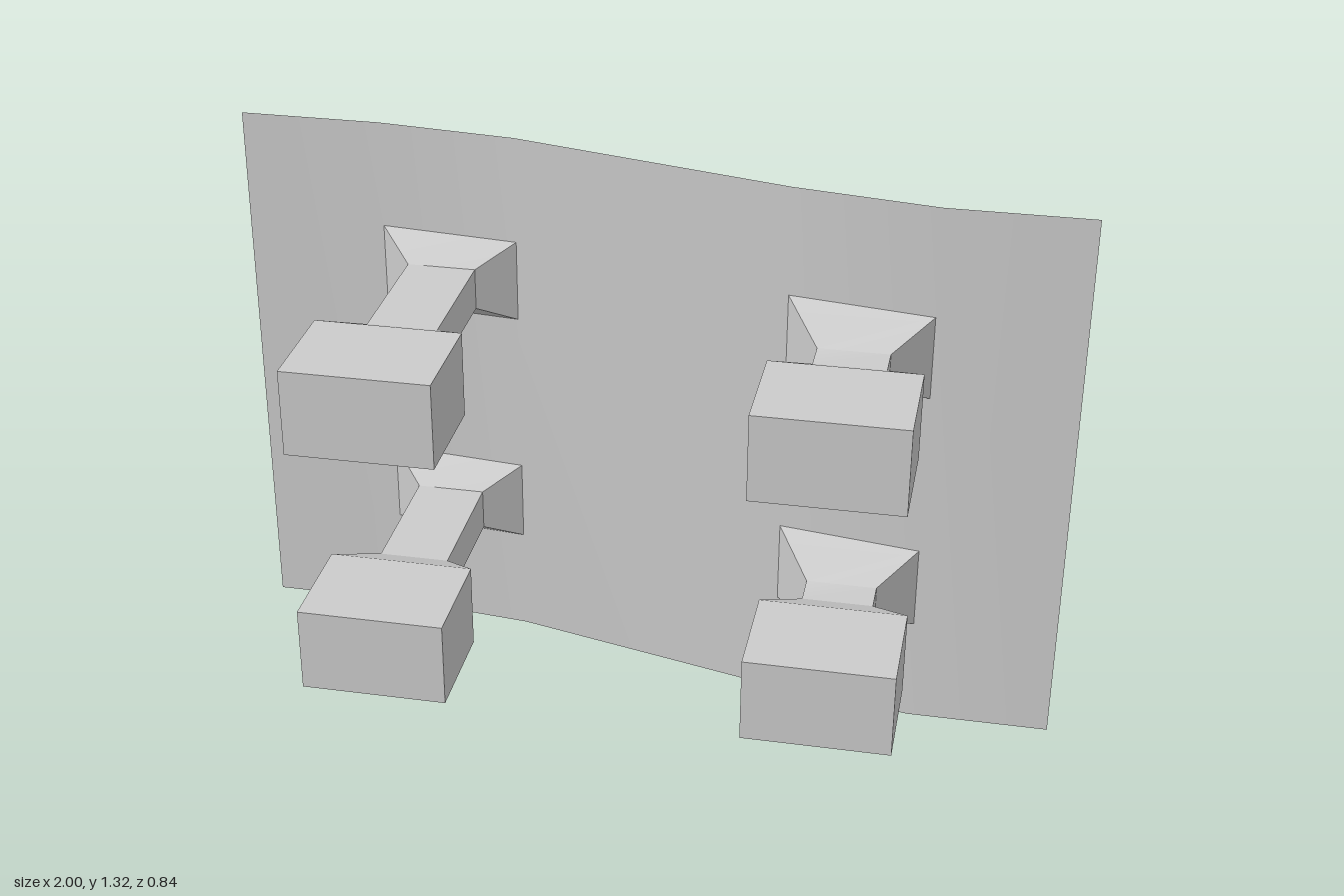
import * as THREE from 'three';
import { toCreasedNormals } from 'three/addons/utils/BufferGeometryUtils.js';

const material = new THREE.MeshStandardMaterial({ color: 0xcccccc });

// Closed solid through four-cornered rings (counter-clockwise seen from the last ring)
function loft(rings) {
  const index = [];
  for (let i = 0; i < rings.length - 1; i++) {
    for (let j = 0; j < 4; j++) {
      const a = i * 4 + j, b = i * 4 + (j + 1) % 4;
      index.push(a, b, b + 4, a, b + 4, a + 4);
    }
  }
  const e = (rings.length - 1) * 4;
  index.push(0, 2, 1, 0, 3, 2, e, e + 1, e + 2, e, e + 2, e + 3);
  const geometry = new THREE.BufferGeometry();
  geometry.setAttribute('position', new THREE.Float32BufferAttribute(rings.flat(2), 3));
  geometry.setIndex(index);
  return toCreasedNormals(geometry, 0.4);
}

// Rectangular ring across z; its two sides may lie at different depths
function rect(w, h, zLeft, zRight = zLeft) {
  return [
    [-w / 2, -h / 2, zLeft], [w / 2, -h / 2, zRight],
    [w / 2, h / 2, zRight], [-w / 2, h / 2, zLeft],
  ];
}

function addMesh(parent, name, geometry) {
  const mesh = new THREE.Mesh(geometry, material);
  mesh.name = name;
  parent.add(mesh);
  return mesh;
}

export function createModel() {
  const model = new THREE.Group();
  model.name = 'peggedPanel';

  // Curved panel: front depth along x, top and bottom edges bevelled toward the back
  const height = 1.32, bevel = 0.06, thickness = 0.057;
  const path = [[-1, -0.363], [-0.667, -0.363], [-0.333, -0.328], [0.333, -0.165], [0.667, -0.113], [1, -0.113]];
  addMesh(model, 'curvedPanel', loft(path.map(([x, z]) => [
    [x, bevel, z - thickness], [x, height - bevel, z - thickness], [x, height, z], [x, 0, z],
  ])));

  // Pegs: flared root on the panel, thin neck, tapered shoulder and block head
  const columns = [
    { x: -0.5, root: [-0.363, -0.328], neck: -0.265 },
    { x: 0.5, root: [-0.165, -0.113], neck: -0.013 },
  ];
  for (const { x, root, neck } of columns) {
    for (const y of [0.36, 0.96]) {
      const peg = addMesh(model, 'peg', loft([
        rect(0.333, 0.2, ...root),
        rect(0.162, 0.1, neck),
        rect(0.162, 0.1, 0.065),
        rect(0.333, 0.2, 0.167),
        rect(0.333, 0.2, 0.42),
      ]));
      peg.position.set(x, y, 0);
    }
  }
  return model;
}
